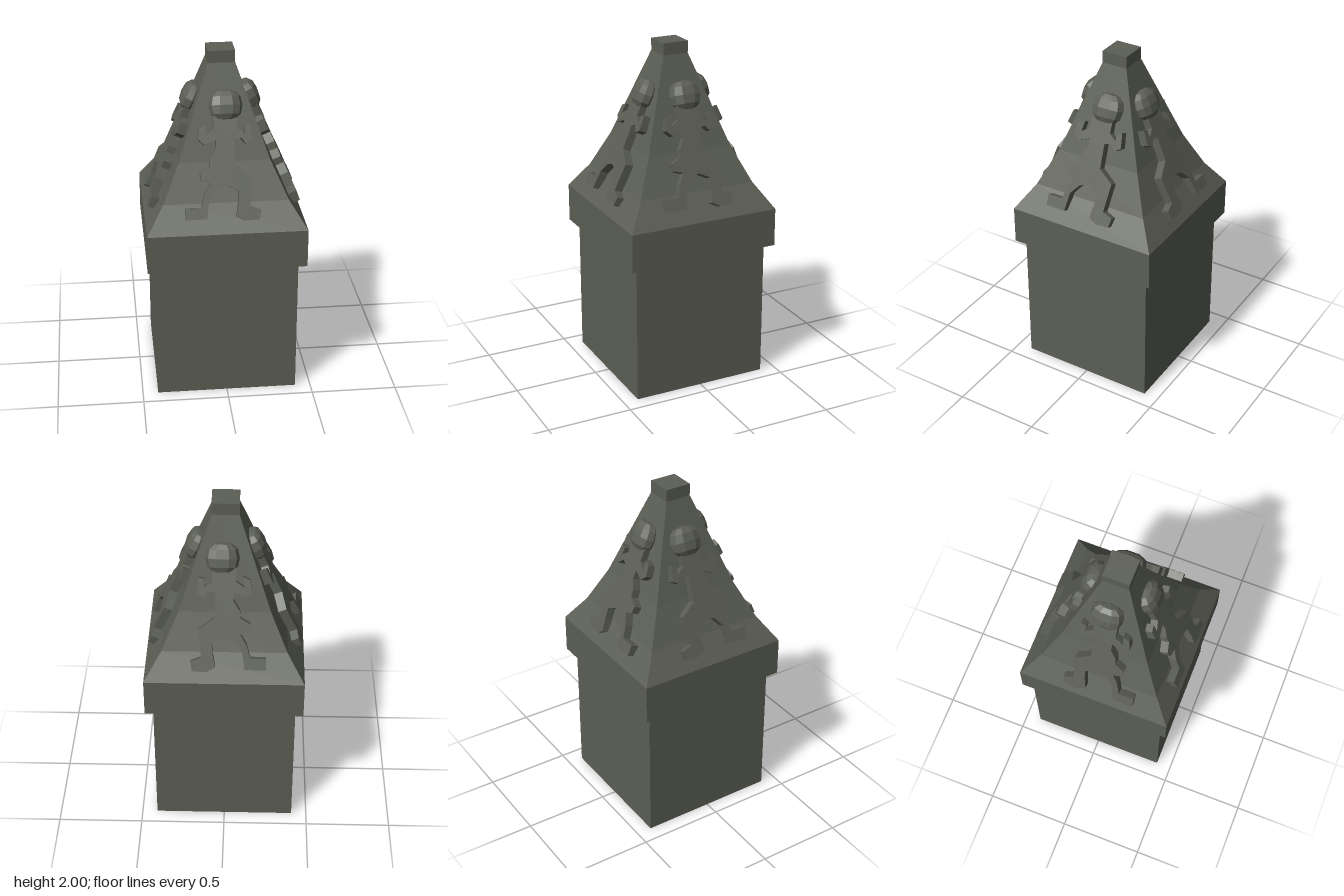
import * as THREE from 'three';

const stone = new THREE.MeshStandardMaterial({ color: 0x5c5f55, flatShading: true });
stone.name = 'dark stone';

// Outer plane of the reliefs: passes through y = FOOT_Y, z = FOOT_Z and leans back by TILT
const FOOT_Y = 1.13, FOOT_Z = 0.4425;
const TILT = Math.atan(1 / 2.31);

// Climbing figure outline (x, height)
const OUTLINE = [
  [-0.06, 1.68], [-0.06, 1.6], [-0.11, 1.57], [-0.1, 1.625], [-0.14, 1.61], [-0.15, 1.55],
  [-0.115, 1.52], [-0.05, 1.545], [-0.05, 1.5], [-0.085, 1.45], [-0.09, 1.41], [-0.145, 1.38],
  [-0.14, 1.34], [-0.09, 1.325], [-0.125, 1.27], [-0.145, 1.2], [-0.235, 1.2], [-0.235, 1.14],
  [-0.115, 1.14], [-0.1, 1.24], [-0.05, 1.295], [0, 1.31], [0.07, 1.28], [0.065, 1.22],
  [0.05, 1.15], [0.1, 1.125], [0.18, 1.13], [0.19, 1.18], [0.13, 1.2], [0.145, 1.35],
  [0.055, 1.41], [0.05, 1.54], [0.09, 1.55], [0.12, 1.52], [0.155, 1.54], [0.145, 1.62],
  [0.11, 1.61], [0.115, 1.57], [0.07, 1.6], [0.07, 1.68],
];

function add(parent, name, geometry) {
  const mesh = new THREE.Mesh(geometry, stone);
  mesh.name = name;
  parent.add(mesh);
  return mesh;
}

function block(half, y0, y1) {
  return new THREE.BoxGeometry(half * 2, y1 - y0, half * 2).translate(0, (y0 + y1) / 2, 0);
}

// Rounded, slightly blocky head
function headGeometry() {
  const g = new THREE.SphereGeometry(1, 10, 6);
  const p = g.attributes.position;
  const bulge = (c) => Math.sign(c) * Math.abs(c) ** 0.8;
  for (let i = 0; i < p.count; i++) {
    p.setXYZ(i, bulge(p.getX(i)), bulge(p.getY(i)), bulge(p.getZ(i)));
  }
  return g.scale(0.095, 0.086, 0.058).rotateX(-TILT);
}

// side = 1 or -1 mirrors the figure
function climber(side) {
  const group = new THREE.Group();
  const points = OUTLINE.map(([x, y]) => new THREE.Vector2(x * side, (y - FOOT_Y) / Math.cos(TILT)));
  const body = new THREE.ExtrudeGeometry(new THREE.Shape(points), { depth: 0.05, bevelEnabled: false });
  body.translate(0, 0, -0.05).rotateX(-TILT).translate(0, FOOT_Y, FOOT_Z);
  add(group, 'figureBody', body);
  add(group, 'figureHead', headGeometry()).position.set(0.014 * side, 1.71, 0.165);
  return group;
}

export function createModel() {
  const model = new THREE.Group();
  model.name = 'pedestal';

  add(model, 'base', block(0.41, 0, 0.825));
  add(model, 'band', block(0.455, 0.825, 1.05));

  // Four-sided concave roof with a square cap
  const profile = [[0.455, 1.05], [0.355, 1.2], [0.2585, 1.41], [0.077, 1.93], [0.077, 2], [0, 2]]
    .map(([half, y]) => new THREE.Vector2(half * Math.SQRT2, y));
  add(model, 'roof', new THREE.LatheGeometry(profile, 4, Math.PI / 4));

  // One figure per face: front, right, back, left; the last two are mirrored
  ['front', 'left', 'back', 'right'].forEach((face, i) => {
    const figure = climber(i < 2 ? 1 : -1);
    figure.name = face + 'Figure';
    figure.rotation.y = (i * Math.PI) / 2;
    model.add(figure);
  });
  return model;
}
